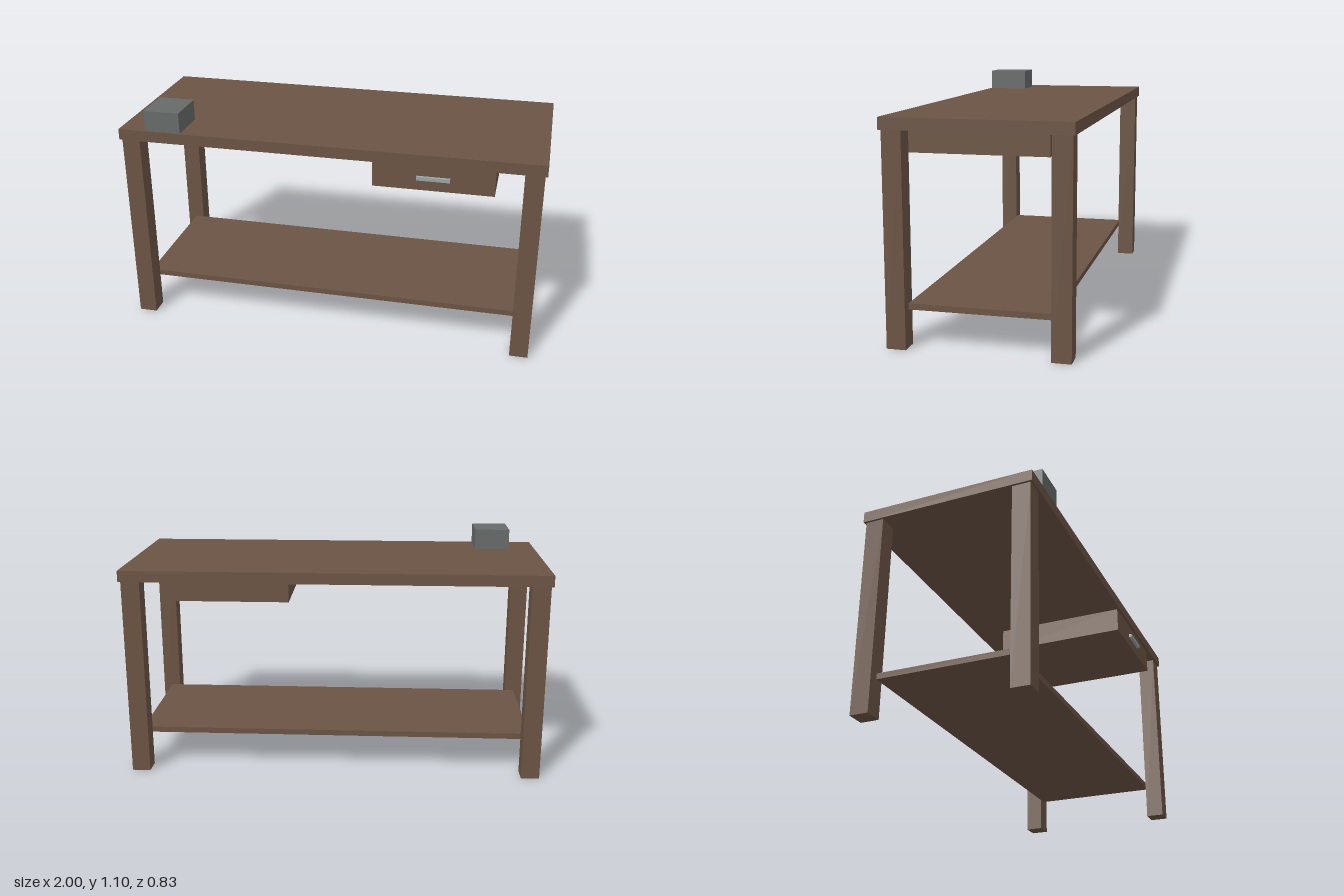
import * as THREE from 'three';

const wood = new THREE.MeshStandardMaterial({ color: 0x6b5444 });
const darkMetal = new THREE.MeshStandardMaterial({ color: 0x666a68 });
const lightMetal = new THREE.MeshStandardMaterial({ color: 0x9aa5a5 });

// Box given by its minimum and maximum corners
function block(name, min, max, material) {
  const size = max.map((v, i) => v - min[i]);
  const mesh = new THREE.Mesh(new THREE.BoxGeometry(...size), material);
  mesh.position.set(...max.map((v, i) => (v + min[i]) / 2));
  mesh.name = name;
  return mesh;
}

export function createModel() {
  const bench = new THREE.Group();
  bench.name = 'workbench';

  // Worktop and lower shelf
  bench.add(block('worktop', [-1, 0.947, -0.415], [1, 1, 0.415], wood));
  bench.add(block('shelf', [-0.945, 0.168, -0.318], [0.945, 0.195, 0.318], wood));

  // Four square legs
  for (const x of [-1, 1]) {
    for (const z of [-1, 1]) {
      const leg = block('', [-0.0435, 0, -0.0435], [0.0435, 0.947, 0.0435], wood);
      leg.position.x = x * 0.946;
      leg.position.z = z * 0.3615;
      leg.name = (z > 0 ? 'front' : 'back') + (x > 0 ? 'Left' : 'Right') + 'Leg';
      bench.add(leg);
    }
  }

  // Drawer hung under the worktop, with its bar handle
  const drawer = new THREE.Group();
  drawer.name = 'drawer';
  drawer.add(block('drawerBox', [0.222, 0.824, -0.267], [0.778, 0.947, 0.4], wood));
  drawer.add(block('drawerHandle', [0.425, 0.876, 0.398], [0.577, 0.893, 0.415], lightMetal));
  bench.add(drawer);

  // Metal block standing on the worktop
  bench.add(block('metalBlock', [-0.866, 1, 0.21], [-0.694, 1.1, 0.409], darkMetal));

  return bench;
}
